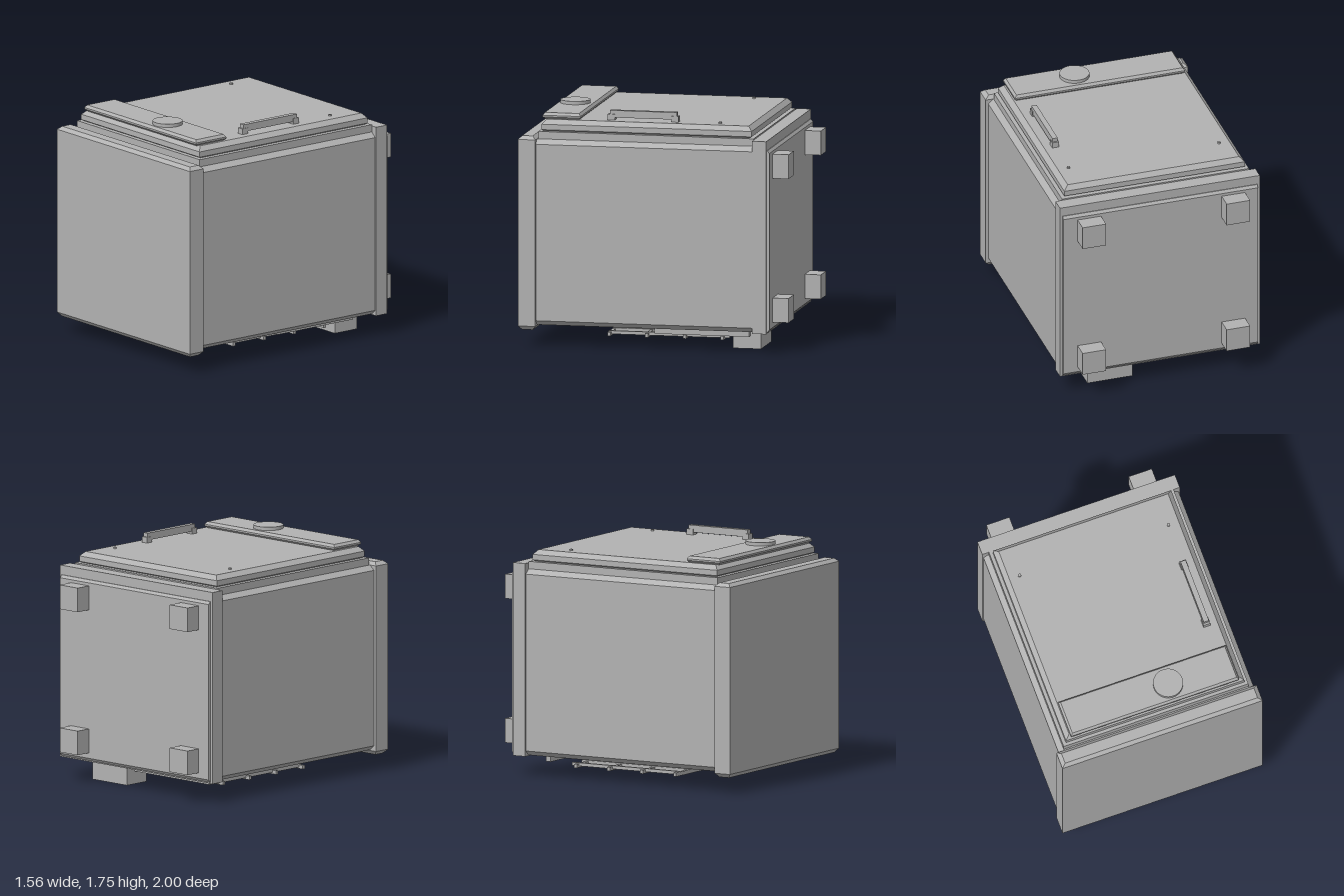
import * as THREE from 'three';

const grey = new THREE.MeshStandardMaterial({ color: 0xb2b2b2 });
grey.name = 'greyMetal';

// Flat-sided solid through rectangles [y, x0, x1, z0, z1], listed from bottom to top
function loft(sections) {
  const rings = sections.map(([y, x0, x1, z0, z1]) => [[x0, y, z1], [x1, y, z1], [x1, y, z0], [x0, y, z0]]);
  const pos = [];
  const quad = (a, b, c, d) => pos.push(...a, ...b, ...c, ...a, ...c, ...d);
  for (let r = 0; r + 1 < rings.length; r++) {
    const lo = rings[r], hi = rings[r + 1];
    for (let i = 0; i < 4; i++) {
      const j = (i + 1) % 4;
      quad(lo[i], lo[j], hi[j], hi[i]);
    }
  }
  const [a, b, c, d] = rings[0];
  quad(d, c, b, a);
  quad(...rings[rings.length - 1]);
  const geo = new THREE.BufferGeometry();
  geo.setAttribute('position', new THREE.Float32BufferAttribute(pos, 3));
  geo.computeVertexNormals();
  return geo;
}

export function createModel() {
  const model = new THREE.Group();
  model.name = 'appliance';

  const add = (name, geo, parent = model) => {
    const mesh = new THREE.Mesh(geo, grey);
    mesh.name = name;
    parent.add(mesh);
    return mesh;
  };
  const box = (name, x0, x1, y0, y1, z0, z1, parent) => {
    const mesh = add(name, new THREE.BoxGeometry(x1 - x0, y1 - y0, z1 - z0), parent);
    mesh.position.set((x0 + x1) / 2, (y0 + y1) / 2, (z0 + z1) / 2);
    return mesh;
  };
  const disc = (name, r, x, y0, y1, z, sides) => {
    const mesh = add(name, new THREE.CylinderGeometry(r, r, y1 - y0, sides));
    mesh.position.set(x, (y0 + y1) / 2, z);
  };

  // Cabinet with chamfered long edges
  add('cabinet', loft([
    [0.155, -0.72, 0.72, -0.76, 0.87], [0.19, -0.76, 0.76, -0.76, 0.87],
    [1.50, -0.76, 0.76, -0.76, 0.87], [1.535, -0.72, 0.72, -0.76, 0.87],
  ]));

  // Worktop slab, chamfered at both ends
  add('worktop', loft([
    [0.12, -0.75, 0.75, 0.895, 0.975], [0.15, -0.78, 0.78, 0.87, 1],
    [1.535, -0.78, 0.78, 0.87, 1], [1.56, -0.75, 0.75, 0.895, 0.975],
  ]));

  // Plinth and its raised panel
  box('plinth', -0.77, 0.77, 0.15, 1.58, -0.86, -0.755);
  add('plinthPanel', loft([
    [0.16, -0.75, 0.75, -0.865, -0.85], [0.18, -0.75, 0.75, -0.88, -0.85],
    [1.49, -0.75, 0.75, -0.88, -0.85], [1.51, -0.75, 0.75, -0.865, -0.85],
  ]));

  // Feet
  for (const x of [-0.56, 0.55]) {
    for (const y of [0.31, 1.378]) box('foot', x - 0.09, x + 0.09, y - 0.09, y + 0.09, -1, -0.875);
  }

  // Door frame and bevelled door
  box('doorFrame', -0.72, 0.72, 1.52, 1.59, -0.755, 0.86);
  add('door', loft([
    [1.588, -0.68, 0.68, -0.715, 0.82], [1.60, -0.695, 0.695, -0.735, 0.84],
    [1.64, -0.695, 0.695, -0.735, 0.84], [1.674, -0.66, 0.66, -0.705, 0.81],
  ]));

  // Control panel and knob
  add('controlPanel', loft([
    [1.67, -0.635, 0.635, 0.575, 0.82], [1.688, -0.655, 0.655, 0.558, 0.842],
    [1.70, -0.655, 0.655, 0.558, 0.842], [1.72, -0.64, 0.64, 0.572, 0.828],
  ]));
  disc('knob', 0.11, 0.15, 1.715, 1.745, 0.705, 40);

  // Handle on two posts
  const handle = new THREE.Group();
  handle.name = 'handle';
  model.add(handle);
  box('handleBar', 0.557, 0.597, 1.692, 1.745, -0.152, 0.35, handle);
  box('handlePost', 0.55, 0.603, 1.67, 1.717, -0.165, -0.112, handle);
  box('handlePost', 0.55, 0.603, 1.67, 1.717, 0.312, 0.365, handle);

  // Door pins
  for (const x of [-0.58, 0.58]) disc('doorPin', 0.012, x, 1.665, 1.685, -0.475, 12);

  // Motor box and the L-shaped rail around it
  box('motorBox', 0.18, 0.53, 0, 0.16, -0.77, -0.56);
  box('sideRail', 0.54, 0.58, 0.095, 0.16, -0.69, 0.02);
  box('crossRail', -0.58, 0.54, 0.095, 0.16, -0.69, -0.65);

  // Wire rack
  const rack = new THREE.Group();
  rack.name = 'wireRack';
  model.add(rack);
  for (let i = 0; i < 8; i++) {
    const x = -0.473 + i * 0.1352;
    box('longRod', x - 0.012, x + 0.012, 0.066, 0.09, -0.525, 0.385, rack);
  }
  for (let i = 0; i < 4; i++) {
    const z = -0.475 + i * 0.283;
    box('crossRod', -0.52, 0.52, 0.055, 0.083, z - 0.012, z + 0.012, rack);
  }

  return model;
}
